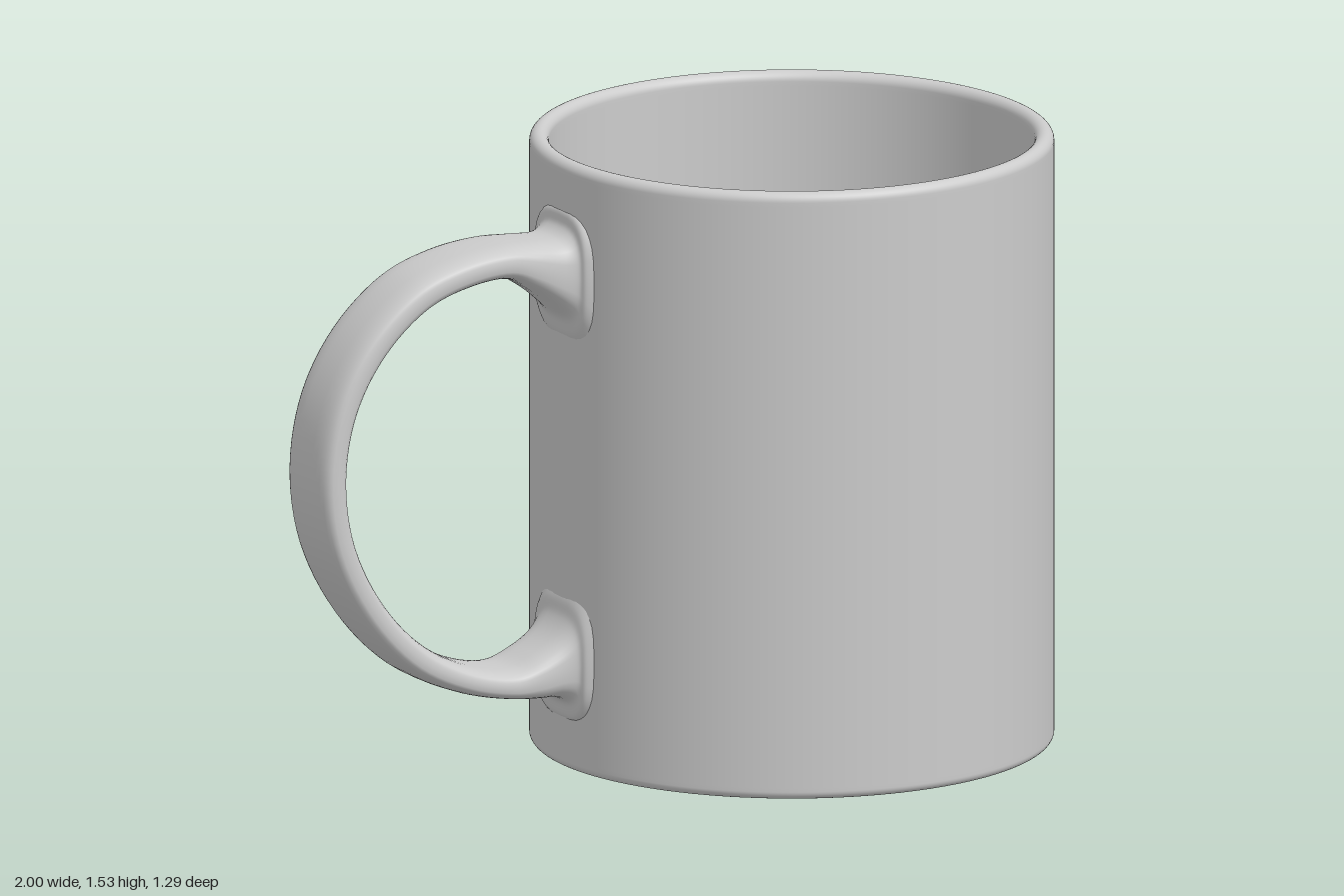
import * as THREE from 'three';

const material = new THREE.MeshStandardMaterial({ color: 0xcccccc });
const CENTRE_X = 0.356, RADIUS = 0.643, INNER = 0.595, HEIGHT = 1.53, FLOOR = 0.06;

// Points of a rounded corner, from angle a0 to a1 in degrees
function arc(cx, cy, r, a0, a1, steps = 8) {
  return Array.from({ length: steps + 1 }, (_, i) => {
    const a = THREE.MathUtils.degToRad(a0 + ((a1 - a0) * i) / steps);
    return new THREE.Vector2(cx + r * Math.cos(a), cy + r * Math.sin(a));
  });
}

// Cup: base, outer wall, rounded rim, inner wall and floor in one turned profile
function makeCup() {
  const p = (x, y) => new THREE.Vector2(x, y);
  const profile = [
    p(0, 0.012), p(0.56, 0.012), p(0.58, 0.01), p(0.6, 0.001),
    ...arc(RADIUS - 0.02, 0.02, 0.02, -90, 0),
    p(RADIUS, 0.03), p(RADIUS, HEIGHT - 0.035),
    ...arc(RADIUS - 0.024, HEIGHT - 0.024, 0.024, 0, 90),
    ...arc(INNER + 0.024, HEIGHT - 0.024, 0.024, 90, 180).slice(1),
    p(INNER, HEIGHT - 0.035), p(INNER, FLOOR + 0.04),
    ...arc(INNER - 0.03, FLOOR + 0.03, 0.03, 0, -90),
    p(INNER - 0.04, FLOOR), p(0, FLOOR),
  ];
  const cup = new THREE.Mesh(new THREE.LatheGeometry(profile, 128), material);
  cup.name = 'cup';
  cup.position.x = CENTRE_X;
  return cup;
}

// Handle: rounded strap swept between an outer and an inner curve, flared at both roots
function makeHandle() {
  // outer x, outer y, inner x, inner y, half width
  const stations = [
    [-0.26, 1.42, -0.26, 1.05, 0.15],
    [-0.287, 1.405, -0.287, 1.095, 0.135],
    [-0.297, 1.37, -0.3, 1.14, 0.118],
    [-0.325, 1.35, -0.335, 1.178, 0.111],
    [-0.4, 1.349, -0.4, 1.228, 0.109],
    [-0.48, 1.35, -0.47, 1.264, 0.108],
    [-0.61, 1.332, -0.585, 1.255, 0.108],
    [-0.74, 1.283, -0.7, 1.212, 0.108],
    [-0.875, 1.165, -0.815, 1.11, 0.108],
    [-0.965, 1.01, -0.892, 0.975, 0.108],
    [-1.0, 0.82, -0.92, 0.82, 0.108],
    [-0.972, 0.626, -0.896, 0.648, 0.108],
    [-0.875, 0.44, -0.812, 0.485, 0.108],
    [-0.74, 0.302, -0.7, 0.369, 0.108],
    [-0.59, 0.232, -0.57, 0.3, 0.108],
    [-0.46, 0.203, -0.455, 0.28, 0.108],
    [-0.385, 0.195, -0.385, 0.307, 0.109],
    [-0.325, 0.19, -0.33, 0.345, 0.111],
    [-0.298, 0.172, -0.3, 0.385, 0.118],
    [-0.287, 0.13, -0.287, 0.43, 0.135],
    [-0.26, 0.11, -0.26, 0.48, 0.15],
  ];
  const outer = new THREE.CatmullRomCurve3(stations.map(s => new THREE.Vector3(s[0], s[1], s[4])));
  const inner = new THREE.CatmullRomCurve3(stations.map(s => new THREE.Vector3(s[2], s[3], 0)));
  const rings = 120, sides = 32, positions = [], index = [];
  const round = v => Math.sign(v) * Math.abs(v) ** 0.65;

  for (let k = 0; k <= rings; k++) {
    const o = outer.getPoint(k / rings), i = inner.getPoint(k / rings);
    for (let j = 0; j < sides; j++) {
      const a = (j / sides) * Math.PI * 2;
      const u = round(Math.cos(a)) / 2, w = round(Math.sin(a));
      positions.push((o.x + i.x) / 2 + (o.x - i.x) * u, (o.y + i.y) / 2 + (o.y - i.y) * u, o.z * w);
      if (k === rings) continue;
      const p = k * sides + j, q = k * sides + ((j + 1) % sides);
      index.push(p, p + sides, q, q, p + sides, q + sides);
    }
  }
  const geometry = new THREE.BufferGeometry();
  geometry.setAttribute('position', new THREE.Float32BufferAttribute(positions, 3));
  geometry.setIndex(index);
  geometry.computeVertexNormals();
  const handle = new THREE.Mesh(geometry, material);
  handle.name = 'handle';
  return handle;
}

export function createModel() {
  const group = new THREE.Group();
  group.name = 'mug';
  group.add(makeCup(), makeHandle());
  return group;
}
